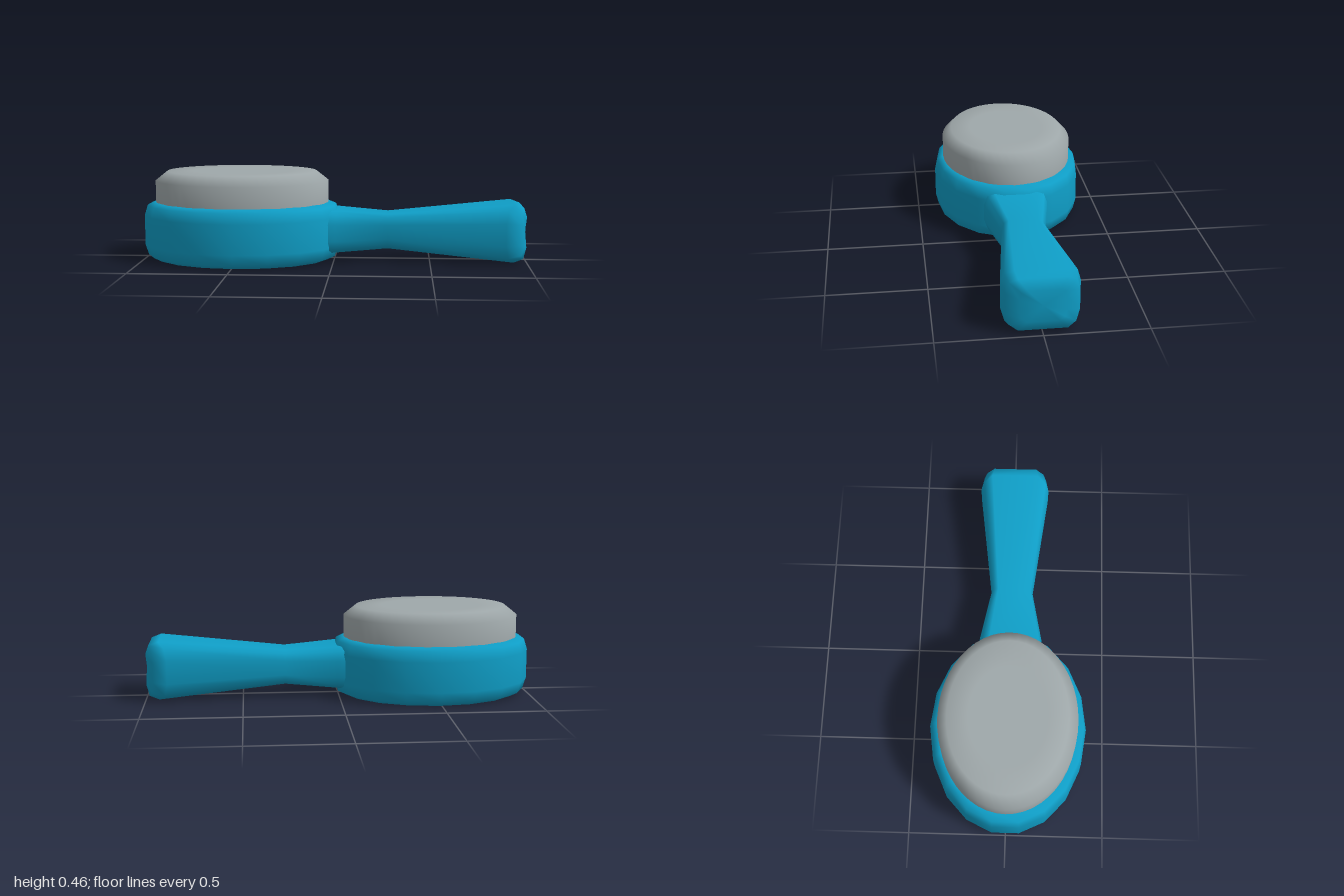
import * as THREE from 'three';

const blue = new THREE.MeshStandardMaterial({ name: 'blue plastic', color: 0x0f9fc8 });
const grey = new THREE.MeshStandardMaterial({ name: 'grey pad', color: 0x9fa8aa });

// Oval turned body: profile radii are measured along z, then widened along x
function oval(name, profile, sides, widen, material) {
  const geometry = new THREE.LatheGeometry(profile.map(([r, y]) => new THREE.Vector2(r, y)), sides);
  geometry.scale(widen, 1, 1);
  const mesh = new THREE.Mesh(geometry, material);
  mesh.name = name;
  mesh.position.x = -0.49;
  return mesh;
}

// Handle lofted along x from rounded-rectangle sections
function handleGeometry() {
  // Unit section (z, y), one quarter, counted from the side up to the top
  const quarter = [[1, 0.4], [0.9, 0.82], [0.67, 1]];
  const section = [
    ...quarter,
    ...quarter.map(([z, y]) => [-z, y]).reverse(),
    ...quarter.map(([z, y]) => [-z, -y]),
    ...quarter.map(([z, y]) => [z, -y]).reverse(),
  ];
  // x, half width, half height, how far the sides are swept back
  const rings = [
    [-0.1, 0.18, 0.118, 0],
    [0.01, 0.163, 0.109, 0],
    [0.28, 0.11, 0.09, 0],
    [0.93, 0.187, 0.15, 0.045],
    [0.98, 0.172, 0.132, 0.022],
    [1.0, 0.11, 0.08, 0.012],
  ];
  const n = section.length;
  const positions = [];
  const index = [];
  for (const [x, w, h, sweep] of rings) {
    for (const [z, y] of section) {
      positions.push(x - sweep * Math.max(0, (Math.abs(z) - 0.67) / 0.33), 0.155 + y * h, z * w);
    }
  }
  for (let i = 0; i < rings.length - 1; i++) {
    for (let j = 0; j < n; j++) {
      const k = (j + 1) % n;
      const a = i * n + j, b = a + n, c = i * n + k, d = c + n;
      index.push(a, b, c, b, d, c);
    }
  }
  // Close the outer end
  const centre = positions.length / 3;
  const last = (rings.length - 1) * n;
  positions.push(1, 0.155, 0);
  for (let j = 0; j < n; j++) index.push(centre, last + ((j + 1) % n), last + j);

  const geometry = new THREE.BufferGeometry();
  geometry.setAttribute('position', new THREE.Float32BufferAttribute(positions, 3));
  geometry.setIndex(index);
  geometry.computeVertexNormals();
  return geometry;
}

export function createModel() {
  const model = new THREE.Group();
  model.name = 'paddle brush';

  // Faceted oval head with rounded rims
  model.add(oval('head', [
    [0, 0], [0.25, 0], [0.355, 0], [0.387, 0.02], [0.4, 0.075],
    [0.4, 0.23], [0.387, 0.285], [0.355, 0.302], [0.25, 0.302], [0, 0.302],
  ], 18, 1.295, blue));

  // Raised pad with a bevelled top edge
  model.add(oval('pad', [
    [0.352, 0.28], [0.352, 0.412], [0.304, 0.462], [0.2, 0.462], [0, 0.462],
  ], 48, 1.3, grey));

  const handle = new THREE.Mesh(handleGeometry(), blue);
  handle.name = 'handle';
  model.add(handle);
  return model;
}
